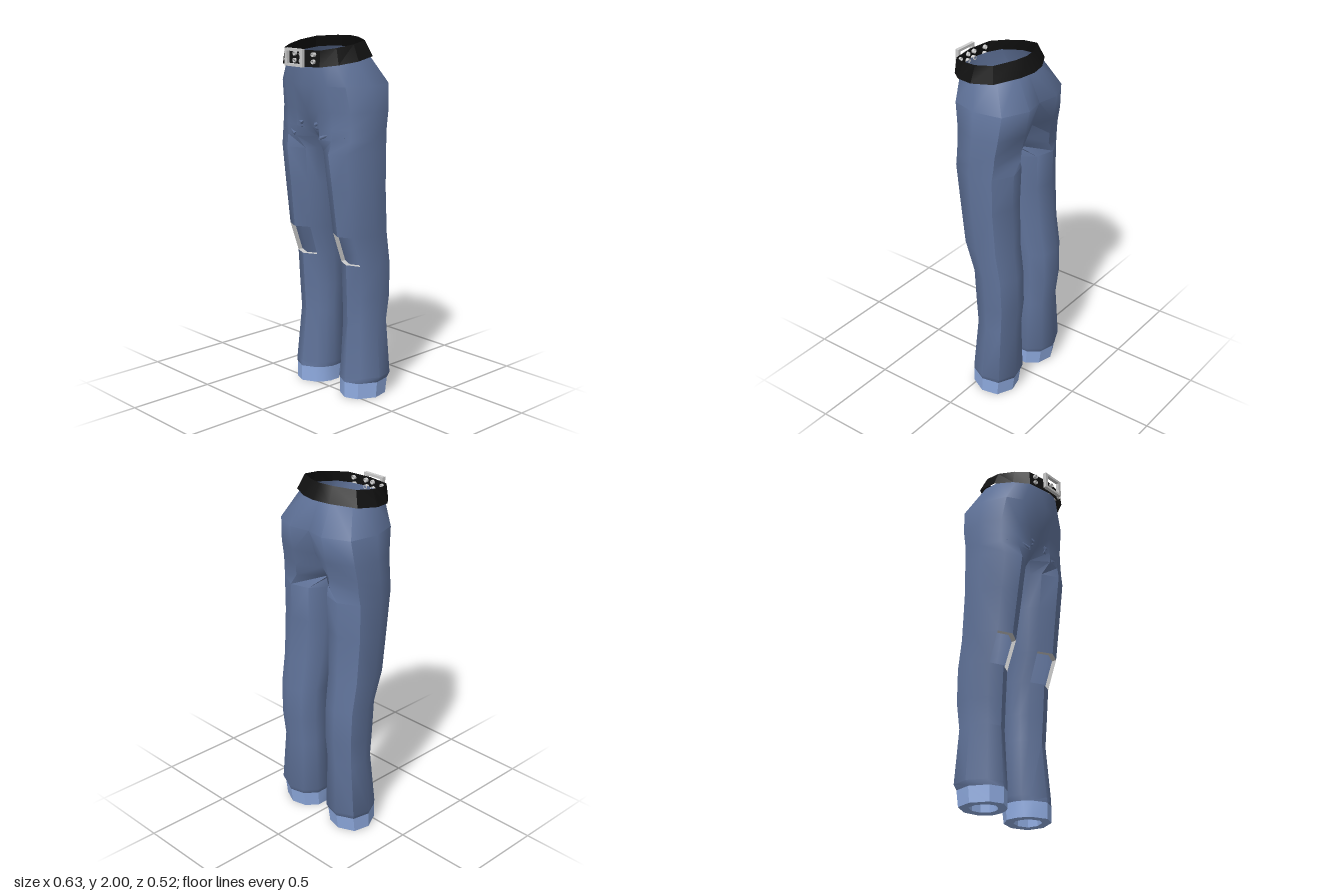
import * as THREE from 'three';
import { mergeGeometries, toCreasedNormals } from 'three/addons/utils/BufferGeometryUtils.js';

const mat = (color) => new THREE.MeshStandardMaterial({ color, side: THREE.DoubleSide, roughness: 0.9 });

// Skin between rings of [x, y, z] points, listed top to bottom, front to +x
function loft(rings, side, keep = () => true) {
  const pos = [];
  const put = (...pts) => pts.forEach(([x, y, z]) => pos.push(x * side, y, z));
  for (let r = 0; r < rings.length - 1; r++) {
    const n = rings[r].length;
    for (let i = 0; i < n; i++) {
      if (!keep(r, i)) continue;
      const j = (i + 1) % n;
      const a = rings[r][i], b = rings[r][j], c = rings[r + 1][j], d = rings[r + 1][i];
      if (side > 0) put(d, c, b, d, b, a);
      else put(b, c, d, a, b, d);
    }
  }
  const g = new THREE.BufferGeometry();
  g.setAttribute('position', new THREE.Float32BufferAttribute(pos, 3));
  return g;
}

// Both mirrored halves as one mesh
function mirrored(name, rings, material, crease, keep) {
  const g = toCreasedNormals(mergeGeometries([1, -1].map((s) => loft(rings, s, keep))), crease);
  const m = new THREE.Mesh(g, material);
  m.name = name;
  return m;
}

// Unit sections: 0 and 7 lie on the centre seam, 8 and 9 on the inner leg
const hipShape = [[0, 1], [0.28, 0.98], [0.55, 0.94], [0.85, 0.82], [1, 0.5], [0.9, 0.15], [0.4, 0], [0, 0]];
const legShape = [[0.07, 0.72], [0.2, 0.86], [0.5, 1], [0.8, 0.88], [1, 0.52],
  [0.92, 0.16], [0.55, 0], [0.2, 0.08], [0, 0.32], [0, 0.55]];

// Half width, front, back, and front and back on the centre seam
function hipRing([y, w, front, back, midFront, midBack], tilt = 0) {
  const ring = hipShape.map(([u, v]) => [u * w, y, back + v * (front - back)]);
  ring[0][2] = midFront;
  ring[7][2] = midBack;
  for (const t of [1 / 3, 2 / 3]) ring.push([0, y, midBack + t * (midFront - midBack)]);
  ring.forEach((p) => { p[1] -= tilt * p[2]; });
  return ring;
}

// Inner and outer x, front and back z; scale shrinks about the middle
function legRing([y, inner, outer, front, back], scale = 1) {
  return legShape.map(([u, v]) => [
    inner + (0.5 + (u - 0.5) * scale) * (outer - inner), y,
    back + (0.5 + (v - 0.5) * scale) * (front - back)]);
}

// Flat plate with a hole, front facing +z
function frame(outer, hole, depth) {
  outer.holes.push(hole);
  return new THREE.ExtrudeGeometry(outer, { depth, bevelEnabled: false, curveSegments: 6 });
}
const rect = (w, h) => new THREE.Shape([[-w, -h], [w, -h], [w, h], [-w, h]].map((p) => new THREE.Vector2(...p)));
const disc = (r) => new THREE.Shape().absarc(0, 0, r, 0, Math.PI * 2);

export function createModel() {
  const model = new THREE.Group();
  model.name = 'trousers';
  const denim = mat(0x60739a), cuffBlue = mat(0x8fabe0), black = mat(0x111111), grey = mat(0xcccccc);

  // Hips and legs in one skin, open at the waist and the torn knees
  const hips = [
    [1.76, 0.293, 0.2, -0.257, 0.205, -0.235],
    [1.62, 0.31, 0.168, -0.235, 0.165, -0.19],
    [1.53, 0.315, 0.165, -0.215, 0.13, -0.13],
    [1.47, 0.317, 0.168, -0.21, 0.08, -0.09],
  ].map((r) => hipRing(r));
  hips.unshift(hipRing([1.92, 0.205, 0.205, -0.15, 0.21, -0.148], 0.12));
  const legs = [
    [1.4, 0.01, 0.317, 0.162, -0.205],
    [1.2, 0.02, 0.315, 0.135, -0.2],
    [0.94, 0.04, 0.308, 0.103, -0.215],
    [0.77, 0.048, 0.303, 0.04, -0.237],
    [0.58, 0.05, 0.298, 0.03, -0.242],
    [0.43, 0.055, 0.287, 0.022, -0.225],
    [0.12, 0.042, 0.317, 0.045, -0.237],
    [0.09, 0.052, 0.305, 0.05, -0.225],
  ].map((r) => legRing(r));
  const crotch = hips.length - 1, knee = hips.length + 2;
  model.add(mirrored('trouserBody', [...hips, ...legs], denim, 0.85, (r, i) =>
    !(r < crotch && i > 6) && !(r === knee && (i === 1 || i === 2))));

  // Pale torn edges around the knee openings
  const [kneeTop, kneeBottom] = [legs[2], legs[3]];
  const tear = [kneeTop[1], kneeTop[2], kneeTop[3], kneeBottom[3], kneeBottom[2], kneeBottom[1]];
  model.add(mirrored('kneeTearEdge', [tear, tear.map(([x, y, z]) => [x, y, z - 0.03])], grey, 0.3));

  // Turned-up cuffs with a folded hem
  const hem = [0, 0.056, 0.302, 0.05, -0.212];
  model.add(mirrored('cuff', [
    legs[7], legRing(hem), legRing(hem, 0.6), legRing([0.05, ...hem.slice(1)], 0.6),
  ], cuffBlue, 0.4));

  // Fabric folds fanning out from the groin
  const folds = [
    [[0.05, 1.545, 0.15], [0.25, 1.63, 0.102]],
    [[0.1, 1.48, 0.158], [0.255, 1.545, 0.1]],
    [[0.05, 1.53, 0.14], [0.24, 1.49, 0.113]],
  ];
  for (const s of [1, -1]) {
    for (const ends of folds) {
      const [a, b] = ends.map(([x, y, z]) => new THREE.Vector3(x * s, y, z));
      const dir = b.clone().sub(a);
      const fold = new THREE.Mesh(new THREE.CylinderGeometry(0.002, 0.011, dir.length(), 5), denim);
      fold.position.copy(a).add(b).multiplyScalar(0.5);
      fold.quaternion.setFromUnitVectors(new THREE.Vector3(0, 1, 0), dir.normalize());
      fold.name = 'groinFold';
      model.add(fold);
    }
  }

  // Belt: a sloped band, higher at the back
  const beltTop = [[0, 0.218], [0.14, 0.195], [0.183, 0.12], [0.208, 0.02], [0.19, -0.08], [0.08, -0.138], [0, -0.155]]
    .map(([x, z]) => [x, 1.977 - 0.147 * z, z]);
  const beltBottom = [[0, 0.23], [0.145, 0.205], [0.21, 0.13], [0.247, 0.02], [0.225, -0.105], [0.095, -0.18], [0, -0.2]]
    .map(([x, z]) => [x, 1.89 - 0.14 * z, z]);
  model.add(mirrored('belt', [beltTop, beltBottom], black, 0.4, (r, i) => i < 6));

  // Buckle frame and the paired eyelets
  const buckle = new THREE.Mesh(frame(rect(0.069, 0.047), rect(0.05, 0.033), 0.02), grey);
  buckle.position.set(0, 1.907, 0.24);
  buckle.name = 'buckle';
  model.add(buckle);
  for (const x of [-0.105, -0.025, 0.025, 0.105]) {
    for (const y of [1.888, 1.925]) {
      const eyelet = new THREE.Mesh(frame(disc(0.012), disc(0.008), 0.03), grey);
      eyelet.position.set(x, y, 0.206 - Math.abs(x) * 0.15);
      eyelet.name = 'eyelet';
      model.add(eyelet);
    }
  }
  return model;
}
